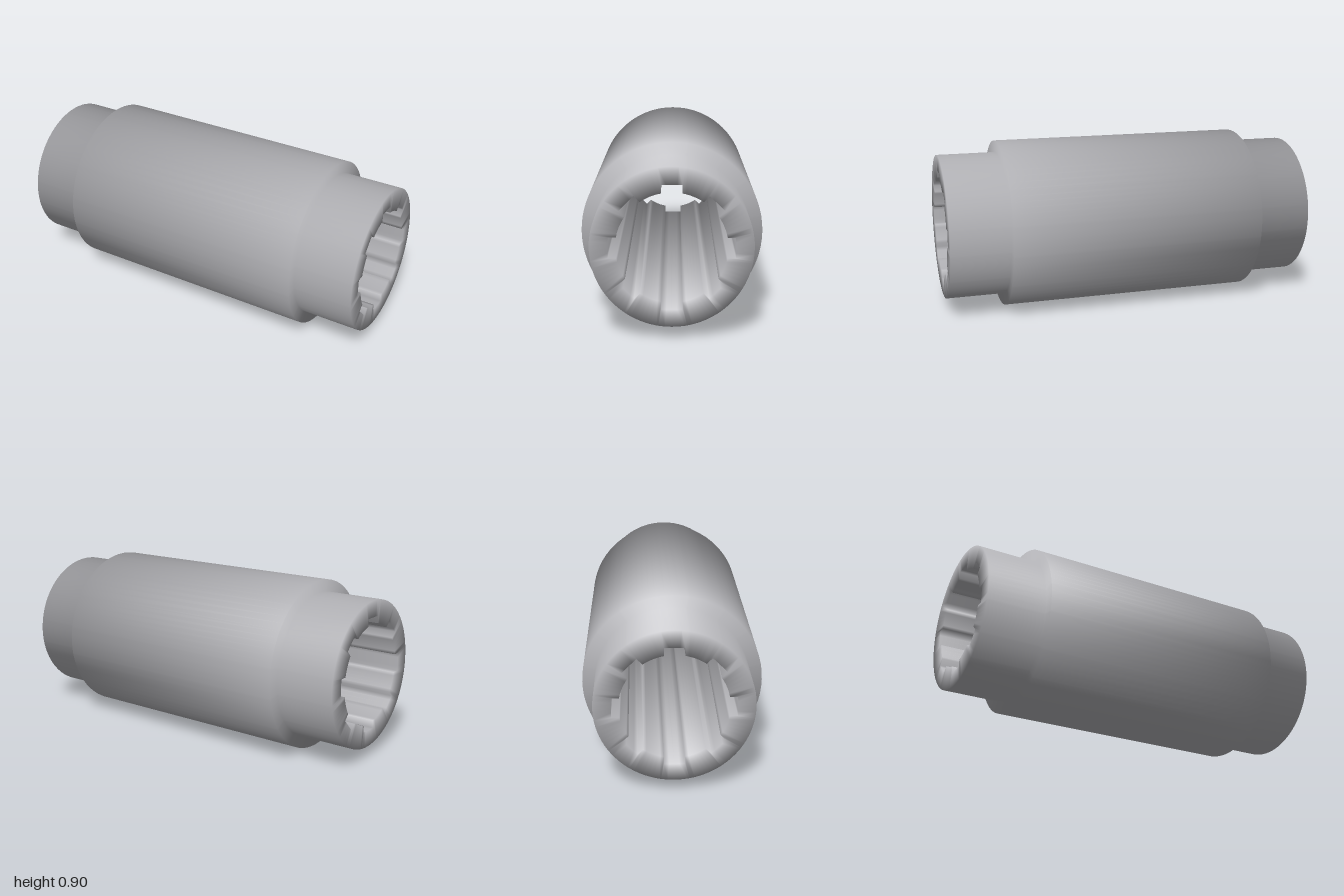
import * as THREE from 'three';

const STEPS = 8, GROOVE_HALF = 0.05, GROOVE_R = 0.3, LAND_R = 0.265;
const SLEEVE_R = 0.387, COLLAR_R = 0.45, COLLAR_X = 0.687;

// Bore outline in (y, z): eight flat-bottomed grooves between curved lands
function boreOutline() {
  const points = [];
  const landY = Math.sqrt(LAND_R ** 2 - GROOVE_HALF ** 2);
  const landStart = Math.atan2(GROOVE_HALF, landY);
  const sector = (Math.PI * 2) / STEPS;
  for (let s = 0; s < STEPS; s++) {
    const local = [new THREE.Vector2(landY, -GROOVE_HALF)];
    for (let k = -2; k <= 2; k++) local.push(new THREE.Vector2(GROOVE_R, (GROOVE_HALF * k) / 2));
    for (let k = 0; k < 6; k++) {
      const a = landStart + ((sector - 2 * landStart) * k) / 6;
      local.push(new THREE.Vector2(LAND_R * Math.cos(a), LAND_R * Math.sin(a)));
    }
    const centre = new THREE.Vector2();
    local.forEach((p) => points.push(p.rotateAround(centre, s * sector)));
  }
  return points;
}

// Rounded shading: normals averaged by corner angle across every edge
function smoothNormals(geometry) {
  const pos = geometry.attributes.position, index = geometry.index.array;
  const sums = Array.from({ length: pos.count }, () => new THREE.Vector3());
  for (let t = 0; t < index.length; t += 3) {
    const ids = [index[t], index[t + 1], index[t + 2]];
    const v = ids.map((i) => new THREE.Vector3().fromBufferAttribute(pos, i));
    const n = v[1].clone().sub(v[0]).cross(v[2].clone().sub(v[0])).normalize();
    ids.forEach((id, k) => {
      const a = v[(k + 1) % 3].clone().sub(v[k]);
      const b = v[(k + 2) % 3].clone().sub(v[k]);
      sums[id].addScaledVector(n, a.angleTo(b));
    });
  }
  const normals = sums.flatMap((n) => n.normalize().toArray());
  geometry.setAttribute('normal', new THREE.Float32BufferAttribute(normals, 3));
}

// Closed skin running along the outside, then back through the bore
function sleeveGeometry() {
  const bore = boreOutline(), count = bore.length;
  const circle = (r) => bore.map((p) => p.clone().setLength(r));
  const rings = [
    [-1, circle(SLEEVE_R)],
    [-COLLAR_X, circle(SLEEVE_R)],
    [-COLLAR_X, circle(COLLAR_R)],
    [COLLAR_X, circle(COLLAR_R)],
    [COLLAR_X, circle(SLEEVE_R)],
    [1, circle(SLEEVE_R)],
    [1, bore],
    [-1, bore],
  ];
  const positions = [], index = [];
  rings.forEach(([x, ring], i) => {
    const next = (i + 1) % rings.length;
    ring.forEach((p, j) => {
      positions.push(x, p.x, p.y);
      const j2 = (j + 1) % count;
      const a = i * count + j, b = i * count + j2;
      const c = next * count + j, d = next * count + j2;
      index.push(a, b, c, b, d, c);
    });
  });
  const geometry = new THREE.BufferGeometry();
  geometry.setAttribute('position', new THREE.Float32BufferAttribute(positions, 3));
  geometry.setIndex(index);
  smoothNormals(geometry);
  return geometry;
}

export function createModel() {
  const steel = new THREE.MeshStandardMaterial({ color: 0xb4b4b8 });
  steel.name = 'steel grey';

  const model = new THREE.Group();
  model.name = 'splinedCoupling';

  // Stepped sleeve with splined bore, lying along x
  const sleeve = new THREE.Mesh(sleeveGeometry(), steel);
  sleeve.name = 'splinedSleeve';
  sleeve.position.y = COLLAR_R;
  model.add(sleeve);
  return model;
}
